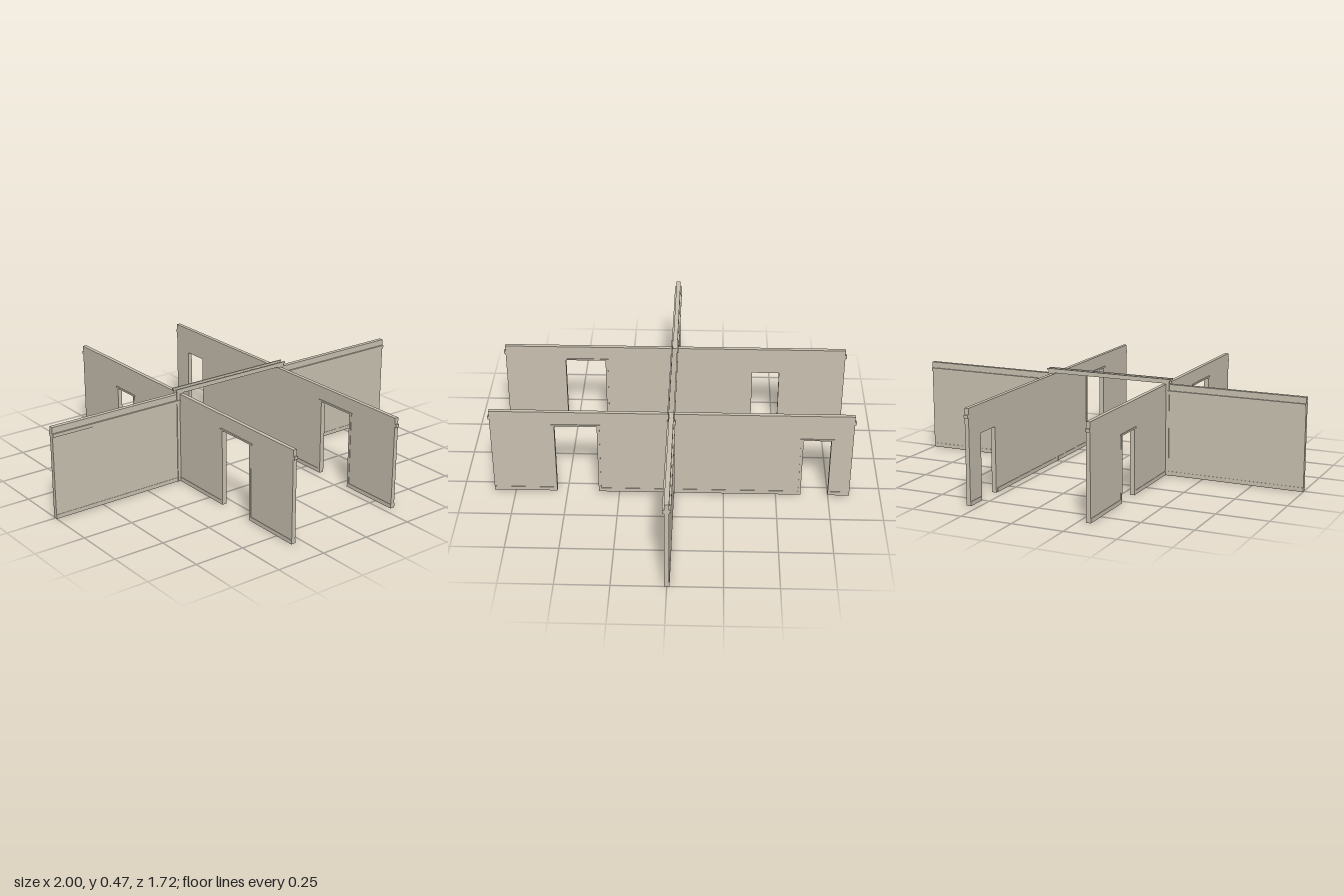
import * as THREE from 'three';

const H = 0.45;          // wall height
const HALF = 0.853;      // half length of the long walls
const T = 0.02;          // wall thickness
const X = 0.298;         // long wall centre line
const BIG = { a: 0.35, b: 0.55, h: 0.375 };

export function createModel() {
  const plaster = new THREE.MeshStandardMaterial({ color: 0xc8c0b0 });
  plaster.name = 'warm plaster';
  const model = new THREE.Group();
  model.name = 'partitionWalls';

  // box given by its min and max corners
  const box = (parent, name, x0, x1, y0, y1, z0, z1) => {
    const mesh = new THREE.Mesh(new THREE.BoxGeometry(x1 - x0, y1 - y0, z1 - z0), plaster);
    mesh.position.set((x0 + x1) / 2, (y0 + y1) / 2, (z0 + z1) / 2);
    mesh.name = name;
    parent.add(mesh);
  };

  // long wall along z, with doors listed from back to front
  const longWall = (name, x, smallDoor, outward) => {
    const group = new THREE.Group();
    group.name = name;
    group.position.x = x;
    model.add(group);
    const doors = [smallDoor, BIG];

    const shape = new THREE.Shape();
    shape.moveTo(-HALF, 0);
    for (const d of doors) {
      shape.lineTo(d.a, 0);
      shape.lineTo(d.a, d.h);
      shape.lineTo(d.b, d.h);
      shape.lineTo(d.b, 0);
    }
    shape.lineTo(HALF, 0);
    shape.lineTo(HALF, H);
    shape.lineTo(-HALF, H);
    const geo = new THREE.ExtrudeGeometry(shape, { depth: T, bevelEnabled: false });
    geo.translate(0, 0, -T / 2).rotateY(-Math.PI / 2);
    const wall = new THREE.Mesh(geo, plaster);
    wall.name = 'wallPanel';
    group.add(wall);

    for (const s of [-1, 1]) {
      // strip lying on one face of the wall
      const strip = (label, depth, y0, y1, z0, z1) => {
        const p = s * T / 2, q = s * (T / 2 + depth);
        box(group, label, Math.min(p, q), Math.max(p, q), y0, y1, z0, z1);
      };
      // door casings
      for (const d of doors) {
        if (d !== BIG && s !== outward) continue;
        strip('doorCasing', 0.002, 0, d.h, d.a - 0.012, d.a);
        strip('doorCasing', 0.002, 0, d.h, d.b, d.b + 0.012);
        strip('doorHead', 0.004, d.h, d.h + 0.008, d.a - 0.016, d.b + 0.016);
      }
      // skirting between the doors
      const stops = [-HALF, smallDoor.a - 0.012, smallDoor.b + 0.012, -0.012,
        0.012, BIG.a - 0.012, BIG.b + 0.012, HALF];
      for (let i = 0; i < stops.length; i += 2) {
        strip('skirting', 0.002, 0, 0.02, stops[i], stops[i + 1]);
      }
      // rail return on each wall end
      const e0 = s * HALF, e1 = s * (HALF + 0.007);
      box(group, 'endRail', -T / 2, T / 2, 0.405, 0.42, Math.min(e0, e1), Math.max(e0, e1));
    }
  };
  longWall('leftLongWall', X, { a: -0.75, b: -0.62, h: 0.315 }, 1);
  longWall('rightLongWall', -X, { a: -0.525, b: -0.39, h: 0.315 }, -1);

  // cross walls running out to the sides
  for (const s of [-1, 1]) {
    const group = new THREE.Group();
    group.name = s > 0 ? 'leftCrossWall' : 'rightCrossWall';
    model.add(group);
    const part = (name, x0, x1, y0, y1, z0, z1) =>
      box(group, name, s > 0 ? x0 : -x1, s > 0 ? x1 : -x0, y0, y1, z0, z1);
    const inner = X + T / 2;
    part('wallPanel', inner, 1, 0, H, -0.011, 0.011);
    part('pictureRail', inner, 1, 0.402, 0.412, -0.016, 0.016);
    part('pictureRailLip', inner, 1, 0.41, 0.42, -0.019, 0.019);
    part('skirting', inner, 1, 0, 0.02, -0.0125, 0.0125);
    // opening casing on both faces
    for (const f of [-1, 1]) {
      part('openingCasing', 0.29, 0.324, 0, 0.455, f > 0 ? 0.011 : -0.015, f > 0 ? 0.015 : -0.011);
    }
  }

  // paired header boards across the opening, with a gap between
  for (const f of [-1, 1]) {
    const board = (name, half, y0, y1, depth) =>
      box(model, name, -half, half, y0, y1, f > 0 ? 0.011 : -depth, f > 0 ? depth : -0.011);
    board('headerBoard', 0.324, 0.453, 0.467, 0.015);
    board('headerCap', 0.33, 0.467, 0.475, 0.018);
  }
  return model;
}
